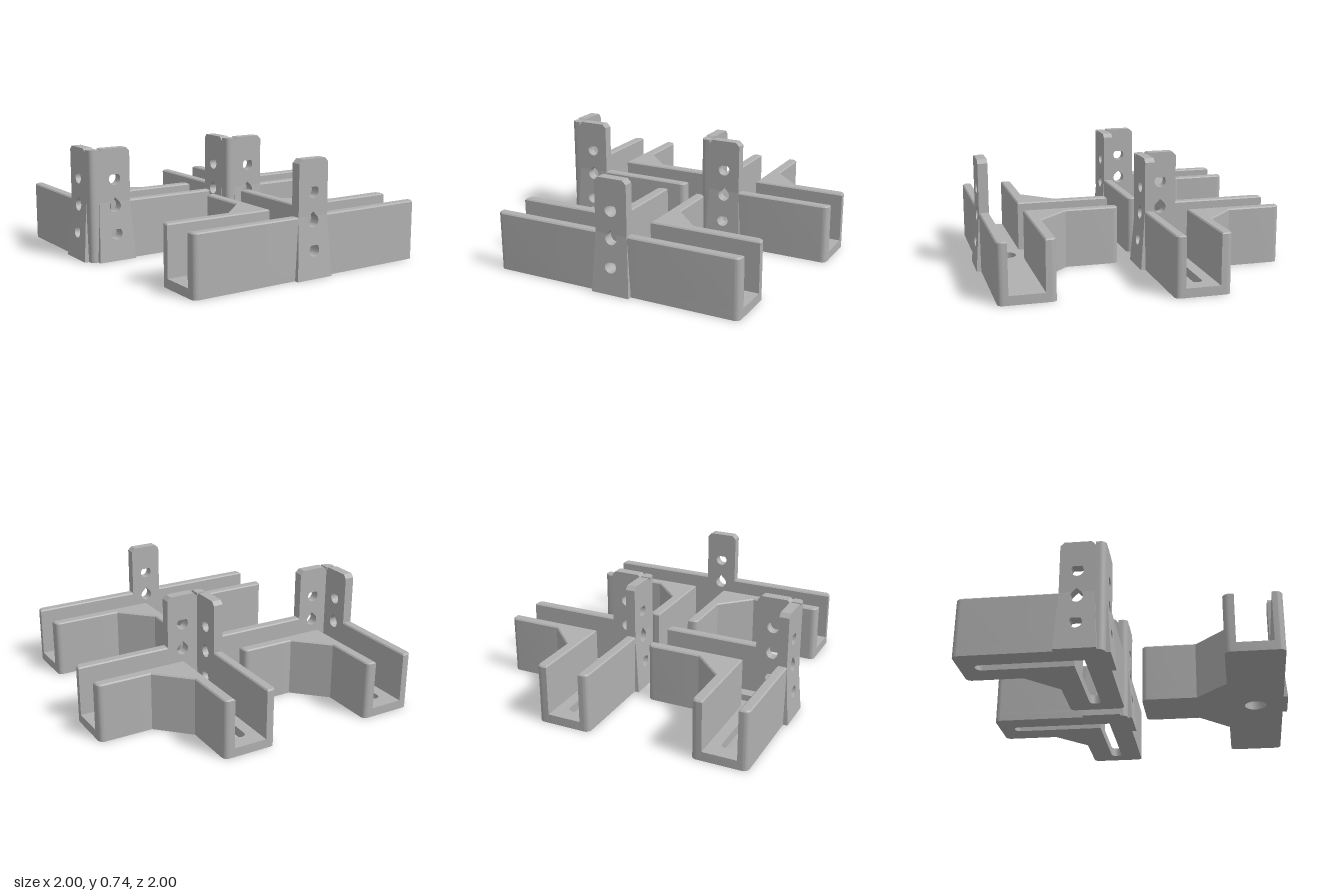
import * as THREE from 'three';
import { toCreasedNormals } from 'three/addons/utils/BufferGeometryUtils.js';

const plastic = new THREE.MeshStandardMaterial({ color: 0xb0b0b0 });
plastic.name = 'grey plastic';

const R = 0.035, WALL = 0.065, RIM = 0.39, TOP = 0.74, FLOOR = 0.06;

// Closed outline from [x, y, cornerRadius] points
function rounded(points, path = new THREE.Shape()) {
  const n = points.length;
  points.forEach(([x, y, r = 0], i) => {
    const p = new THREE.Vector2(x, y);
    const toward = (q, d) => p.clone().add(new THREE.Vector2(q[0] - x, q[1] - y).setLength(d));
    const prev = points[(i + n - 1) % n], next = points[(i + 1) % n];
    const a = r ? toward(prev, r) : p, b = r ? toward(next, r) : p;
    if (i === 0) path.moveTo(a.x, a.y); else path.lineTo(a.x, a.y);
    if (r) {
      const c = toward(prev, r * 0.448), d = toward(next, r * 0.448);
      path.bezierCurveTo(c.x, c.y, d.x, d.y, b.x, b.y);
    }
  });
  path.closePath();
  return path;
}

function mesh(name, geometry) {
  const m = new THREE.Mesh(toCreasedNormals(geometry, 0.5), plastic);
  m.name = name;
  return m;
}

// Plan outline (x, -z) raised from y0 to y1, with optional edge bevel
function raise(name, shape, y0, y1, bevel = 0) {
  const g = new THREE.ExtrudeGeometry(shape, {
    depth: y1 - y0 - 2 * bevel, curveSegments: 8, bevelEnabled: bevel > 0,
    bevelThickness: bevel, bevelSize: bevel, bevelOffset: -bevel, bevelSegments: 1,
  });
  g.translate(0, 0, bevel).rotateX(-Math.PI / 2).translate(0, y0, 0);
  return mesh(name, g);
}

const wall = (name, pts, top = RIM) => raise(name, rounded(pts), 0.01, top, 0.008);
const flip = (pts) => pts.map(([x, y, r]) => [-x, y, r]);
const swap = (pts) => pts.map(([x, y, r]) => [y, x, r]);

// Teardrop hole with its point upward
function teardrop(y, r = 0.04) {
  const p = new THREE.Path();
  p.moveTo(0, y + r * Math.SQRT2);
  p.absarc(0, y, r, Math.PI * 0.75, Math.PI * 2.25, false);
  p.closePath();
  return p;
}

// Upright screw tab with a flared wedge below the rim; outer face on z = 0
function screwTab() {
  const group = new THREE.Group();
  group.name = 'screwTab';
  const w = 0.11, r = 0.04, hy = 0.36, c = 0.025;
  const opts = { depth: WALL, bevelEnabled: false, curveSegments: 20 };
  const notch = hy + r * Math.SQRT2 - RIM;

  const upper = rounded([[-w, RIM], [-notch, RIM], [0, RIM + notch], [notch, RIM], [w, RIM],
    [w, TOP - c], [w - c, TOP], [c - w, TOP], [-w, TOP - c]]);
  upper.holes.push(teardrop(0.54));
  group.add(mesh('tabUpper', new THREE.ExtrudeGeometry(upper, opts).translate(0, 0, -WALL)));

  const lower = new THREE.Shape();
  lower.moveTo(-w, 0);
  lower.lineTo(w, 0);
  lower.lineTo(w, RIM);
  lower.lineTo(notch, RIM);
  lower.absarc(0, hy, r, Math.PI / 4, Math.PI * 0.75, true);
  lower.lineTo(-notch, RIM);
  lower.lineTo(-w, RIM);
  lower.closePath();
  lower.holes.push(teardrop(0.18));
  const g = new THREE.ExtrudeGeometry(lower, opts).translate(0, 0, -WALL);
  // Flare the outer face outward toward the base
  const pos = g.attributes.position;
  for (let i = 0; i < pos.count; i++) {
    if (pos.getZ(i) < -0.001) continue;
    const t = 1 - pos.getY(i) / RIM, x = pos.getX(i);
    pos.setZ(i, 0.03 * t);
    if (Math.abs(x) > w - 0.001) pos.setX(i, x + Math.sign(x) * 0.02 * t);
  }
  group.add(mesh('tabWedge', g));

  // Straight sides that carry the flare back to the wall
  for (const s of [-1, 1]) {
    const a = s * (w - 0.01), b = s * (w + 0.02), d = s * w;
    const plan = rounded([[a, 0.01], [b, 0.01], [b, -0.03], [a, -0.03]]);
    const side = new THREE.ExtrudeGeometry(plan, { depth: RIM, bevelEnabled: false });
    side.rotateX(-Math.PI / 2);
    const p = side.attributes.position;
    for (let i = 0; i < p.count; i++) {
      const t = 1 - p.getY(i) / RIM;
      if (Math.abs(p.getX(i)) > w) p.setX(i, d + s * 0.02 * t);
      p.setZ(i, p.getZ(i) > 0 ? 0.03 * t : -0.01);
    }
    group.add(mesh('wedgeSide', side));
  }
  return group;
}

// L-shaped channel bracket, outer corner at the origin, legs along +x and -z
function cornerBracket() {
  const group = new THREE.Group();
  group.name = 'cornerBracket';
  const base = rounded([[0, 0, R], [0.92, 0, R], [0.92, 0.36, R], [0.56, 0.36],
    [0.36, 0.56], [0.36, 0.92, R], [0, 0.92, R]]);
  base.holes.push(rounded([[0.14, 0.14], [0.82, 0.14, 0.037], [0.82, 0.215, 0.037],
    [0.215, 0.215], [0.215, 0.82, 0.037], [0.14, 0.82, 0.037]], new THREE.Path()));
  group.add(raise('slottedFloor', base, 0, FLOOR));

  group.add(wall('innerWall', [[0.29, 0.29], [0.92, 0.29], [0.92, 0.36, R], [0.56, 0.36],
    [0.36, 0.56], [0.36, 0.92, R], [0.29, 0.92]]));
  const outer = [[0.275, 0], [0.92, 0, R], [0.92, WALL], [0.275, WALL]];
  group.add(wall('frontWall', outer), wall('sideWall', swap(outer)));
  group.add(raise('cornerPost', rounded([[0, 0, R], [WALL, 0], [WALL, WALL], [0, WALL]]), 0, TOP - 0.005));

  const front = screwTab(), side = screwTab();
  front.position.x = 0.175;
  side.position.z = -0.175;
  side.rotation.y = -Math.PI / 2;
  group.add(front, side);
  return group;
}

// T-shaped channel bracket, outer face on z = 0, stem along -z
function teeBracket() {
  const group = new THREE.Group();
  group.name = 'teeBracket';
  const half = [[0.85, 0, R], [0.85, 0.36, R], [0.38, 0.36], [0.18, 0.56], [0.18, 0.92, R]];
  const base = rounded([...half, ...flip(half).reverse()]);
  base.holes.push(new THREE.Path().absarc(0, 0.18, 0.072, 0, Math.PI * 2, true));
  group.add(raise('drilledFloor', base, 0, FLOOR));

  const inner = [[0.11, 0.29], [0.85, 0.29], ...half.slice(1), [0.11, 0.92]];
  const outer = [[0.1, 0], [0.85, 0, R], [0.85, WALL], [0.1, WALL]];
  for (const side of [(p) => p, flip]) {
    group.add(wall('innerWall', side(inner)), wall('frontWall', side(outer)));
  }
  group.add(screwTab());
  return group;
}

export function createModel() {
  const model = new THREE.Group();
  model.name = 'channelBrackets';
  for (const x of [-0.97, 0.08]) {
    const corner = cornerBracket();
    corner.position.set(x, 0, -0.08);
    model.add(corner);
  }
  const tee = teeBracket();
  tee.position.z = 0.97;
  model.add(tee);
  return model;
}
